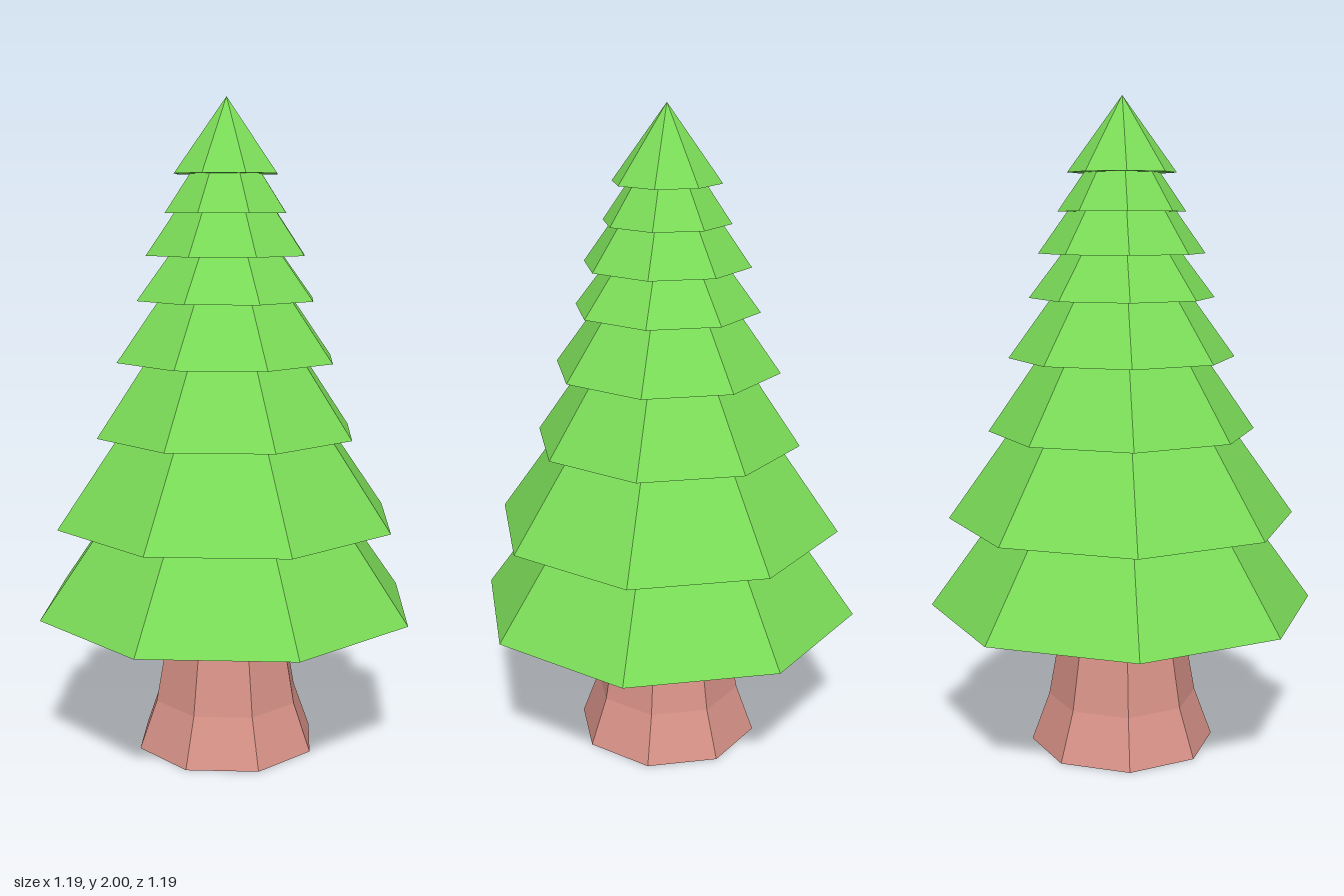
import * as THREE from 'three';

const SIDES = 8;

// Faceted solid of revolution, profile listed from bottom to top
function turned(name, profile, material) {
  const points = profile.map(([r, y]) => new THREE.Vector2(r, y));
  const mesh = new THREE.Mesh(new THREE.LatheGeometry(points, SIDES), material);
  mesh.name = name;
  return mesh;
}

export function createModel() {
  const leafGreen = new THREE.MeshStandardMaterial({ color: 0x7adb57, flatShading: true });
  leafGreen.name = 'leaf green';
  const barkBrown = new THREE.MeshStandardMaterial({ color: 0xd89288, flatShading: true });
  barkBrown.name = 'bark brown';

  const tree = new THREE.Group();
  tree.name = 'pineTree';

  // Trunk, flaring at the foot
  tree.add(turned('trunk', [[0, 0], [0.287, 0], [0.232, 0.15], [0.2, 0.33], [0.197, 0.45]], barkBrown));

  // Branch tiers: base height, rim radius, radius where the next tier begins
  const tiers = [
    [0.45, 0.596, 0.397],
    [0.725, 0.537, 0.345],
    [0.995, 0.411, 0.256],
    [1.22, 0.347, 0.215],
    [1.402, 0.283, 0.182],
    [1.535, 0.254, 0.165],
    [1.66, 0.194, 0.115],
    [1.775, 0.165, 0],
  ];
  tiers.forEach(([y, rim, neck], i) => {
    const top = i + 1 < tiers.length ? tiers[i + 1][0] : 2;
    // Flat underside reaching in to the tier below, then the sloping skirt
    const inner = i > 0 ? tiers[i - 1][2] : 0;
    tree.add(turned(`branchTier${i + 1}`, [[inner, y], [rim, y], [neck, top]], leafGreen));
  });

  return tree;
}
